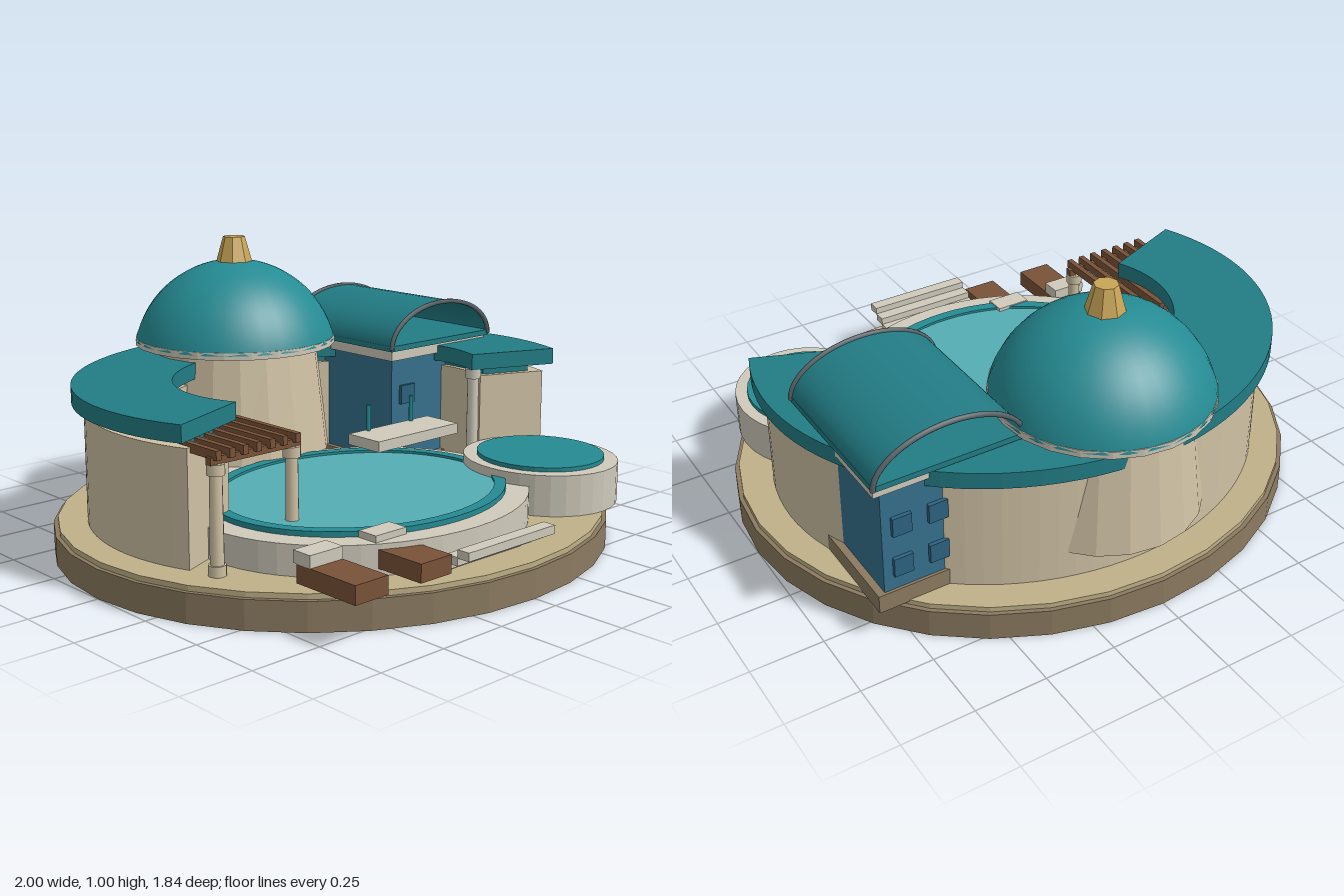
import * as THREE from 'three';

const C = {
  base: 0x8b7a60, ground: 0xbfb088, wall: 0xcfc1a4, dome: 0x258b93, roof: 0x227c85, blue: 0x35708d,
  window: 0x2c6280, wood: 0x7a5238, stone: 0xcfcabb, gold: 0xc9a657, water: 0x54adb3, metal: 0x586468,
};

export function createModel() {
  const model = new THREE.Group();

  function add(name, geometry, color, x = 0, y = 0, z = 0, flat = false) {
    const material = new THREE.MeshStandardMaterial({ color, flatShading: flat });
    const mesh = new THREE.Mesh(geometry, material);
    mesh.name = name;
    mesh.position.set(x, y, z);
    model.add(mesh);
    return mesh;
  }

  // Box given by its extents on each axis
  const box = (name, color, [x0, x1], [y0, y1], [z0, z1]) =>
    add(name, new THREE.BoxGeometry(x1 - x0, y1 - y0, z1 - z0), color,
      (x0 + x1) / 2, (y0 + y1) / 2, (z0 + z1) / 2);

  // Elliptic drum standing between two heights
  const drum = (name, color, rx, rz, y0, y1, x, z, sides = 32) =>
    add(name, new THREE.CylinderGeometry(1, 1, y1 - y0, sides).scale(rx, 1, rz), color, x, (y0 + y1) / 2, z, true);

  // Upright extrusion of a plan shape (plan y points to the back)
  const rise = (name, color, shape, y0, y1, x = 0, z = 0) =>
    add(name, new THREE.ExtrudeGeometry(shape, { depth: y1 - y0, bevelEnabled: false, curveSegments: 28 })
      .rotateX(-Math.PI / 2), color, x, y0, z, true);

  function ringShape(rx, rz, ix, iz) {
    const shape = new THREE.Shape().absellipse(0, 0, rx, rz, 0, Math.PI * 2);
    shape.holes.push(new THREE.Path().absellipse(0, 0, ix, iz, 0, Math.PI * 2));
    return shape;
  }

  // Horseshoe plan, open towards the front
  function horseshoe(rx, rz, ix, iz, degrees) {
    const a = THREE.MathUtils.degToRad(degrees);
    const shape = new THREE.Shape();
    shape.absellipse(0, 0, rx, rz, -a, Math.PI + a, false);
    shape.absellipse(0, 0, ix, iz, Math.PI + a, -a, true);
    shape.closePath();
    return shape;
  }

  // Round base
  drum('base', C.base, 1, 0.92, 0, 0.098, 0, 0);
  drum('ground', C.ground, 0.985, 0.905, 0.098, 0.116, 0, 0);

  // Curved building
  rise('curvedWall', C.wall, horseshoe(0.88, 0.775, 0.63, 0.49, 20), 0.116, 0.5, 0, -0.02);
  rise('roofSupport', C.roof, horseshoe(0.83, 0.73, 0.65, 0.51, 18), 0.5, 0.525, 0, -0.02);
  rise('curvedRoof', C.roof, horseshoe(0.92, 0.815, 0.59, 0.46, 20.5), 0.525, 0.583, 0, -0.02);

  // Domed tower
  const towerZ = -0.543;
  add('tower', new THREE.CylinderGeometry(0.3, 0.345, 0.39, 20), C.wall, 0, 0.41, towerZ, true);
  add('domeRim', new THREE.CylinderGeometry(0.368, 0.368, 0.026, 24), C.stone, 0, 0.622, towerZ, true);
  const dome = add('dome', new THREE.SphereGeometry(0.378, 32, 16, 0, Math.PI * 2, 0, 1.34), C.dome, 0, 0.537, towerZ);
  dome.material.side = THREE.DoubleSide;
  add('finial', new THREE.CylinderGeometry(0.04, 0.067, 0.095, 8), C.gold, 0, 0.9525, towerZ, true);

  // Blue house
  box('houseFooting', C.base, [0.34, 0.845], [0.11, 0.175], [-0.59, -0.06]);
  box('house', C.blue, [0.36, 0.82], [0.175, 0.56], [-0.58, -0.08]);
  box('houseCornice', C.stone, [0.345, 0.845], [0.555, 0.592], [-0.59, -0.065]);
  box('houseRoofSlab', C.roof, [0.335, 0.855], [0.592, 0.612], [-0.61, -0.055]);
  for (const x of [0.63, 0.755]) {
    for (const y of [0.265, 0.42]) box('backWindow', C.window, [x - 0.033, x + 0.033], [y - 0.034, y + 0.034], [-0.594, -0.575]);
  }
  box('frontWindow', C.window, [0.4, 0.47], [0.385, 0.455], [-0.085, -0.068]);

  // Open barrel vault with a rib at each end
  const vault = new THREE.CylinderGeometry(1, 1, 0.56, 24, 1, true, -Math.PI / 2, Math.PI)
    .rotateX(-Math.PI / 2).scale(0.26, 0.15, 1);
  vault.computeBoundingBox();
  if (vault.boundingBox.max.y < 0.01) vault.rotateZ(Math.PI);
  add('vaultRoof', vault, C.roof, 0.595, 0.6, -0.335).material.side = THREE.DoubleSide;
  const arc = [];
  for (let i = 0; i <= 24; i++) {
    const a = (i / 24) * Math.PI;
    arc.push(new THREE.Vector3(0.26 * Math.cos(a), 0.15 * Math.sin(a), 0));
  }
  for (const z of [-0.055, -0.612]) {
    add('vaultRib', new THREE.TubeGeometry(new THREE.CatmullRomCurve3(arc), 32, 0.009, 6), C.metal, 0.595, 0.6, z);
  }

  // Main pool
  const px = -0.1, pz = 0.225;
  rise('poolRim', C.stone, ringShape(0.62, 0.535, 0.5, 0.42), 0.116, 0.218, px, pz);
  rise('poolCoping', C.dome, ringShape(0.54, 0.457, 0.5, 0.418), 0.21, 0.236, px, pz);
  drum('poolWater', C.water, 0.505, 0.423, 0.12, 0.227, px, pz, 48);

  // Small round pool
  drum('smallPoolRim', C.stone, 0.257, 0.283, 0.116, 0.26, 0.583, 0.445);
  drum('smallPoolWater', C.dome, 0.216, 0.23, 0.25, 0.275, 0.583, 0.445);

  // Diving platform and its posts
  box('divingPlatform', C.stone, [0.125, 0.53], [0.283, 0.322], [-0.06, 0.095]);
  for (const x of [0.212, 0.43]) {
    add('platformPost', new THREE.CylinderGeometry(0.008, 0.008, 0.1, 8), C.dome, x, 0.367, -0.048);
  }

  // Front steps, rising outwards
  for (let i = 0; i < 4; i++) {
    const z = 0.735 + i * 0.046, y = 0.118 + i * 0.025;
    box('step', C.stone, [-0.31, 0.087], [y, y + 0.028], [z, z + 0.046]);
  }

  // Loungers beside the steps
  for (const x of [-0.64, -0.375]) {
    box('lounger', C.wood, [x - 0.065, x + 0.065], [0.14, 0.2], [0.6, 0.85]);
    box('loungerHead', C.stone, [x - 0.065, x + 0.065], [0.2, 0.24], [0.585, 0.66]);
  }

  // Columns with a foot and a capital
  function column(x, z, top, color) {
    const h = top - 0.116;
    add('column', new THREE.CylinderGeometry(0.02, 0.023, h, 12), color, x, 0.116 + h / 2, z);
    add('columnFoot', new THREE.CylinderGeometry(0.029, 0.029, 0.035, 12), color, x, 0.133, z);
    add('columnCapital', new THREE.CylinderGeometry(0.029, 0.029, 0.035, 12), color, x, top - 0.018, z);
  }
  column(-0.595, -0.2, 0.525, C.stone);
  column(0.583, 0.12, 0.525, C.stone);

  // Timber pergola
  column(-0.79, 0.335, 0.467, C.wall);
  column(-0.49, 0.335, 0.467, C.wall);
  column(-0.49, -0.055, 0.467, C.wall);
  for (const z of [-0.055, 0.337]) box('pergolaBeam', C.wood, [-0.82, -0.463], [0.465, 0.49], [z - 0.012, z + 0.012]);
  for (let i = 0; i < 7; i++) {
    const x = -0.8 + i * 0.052;
    box('pergolaSlat', C.wood, [x - 0.01, x + 0.01], [0.482, 0.512], [-0.08, 0.365]);
  }

  return model;
}
